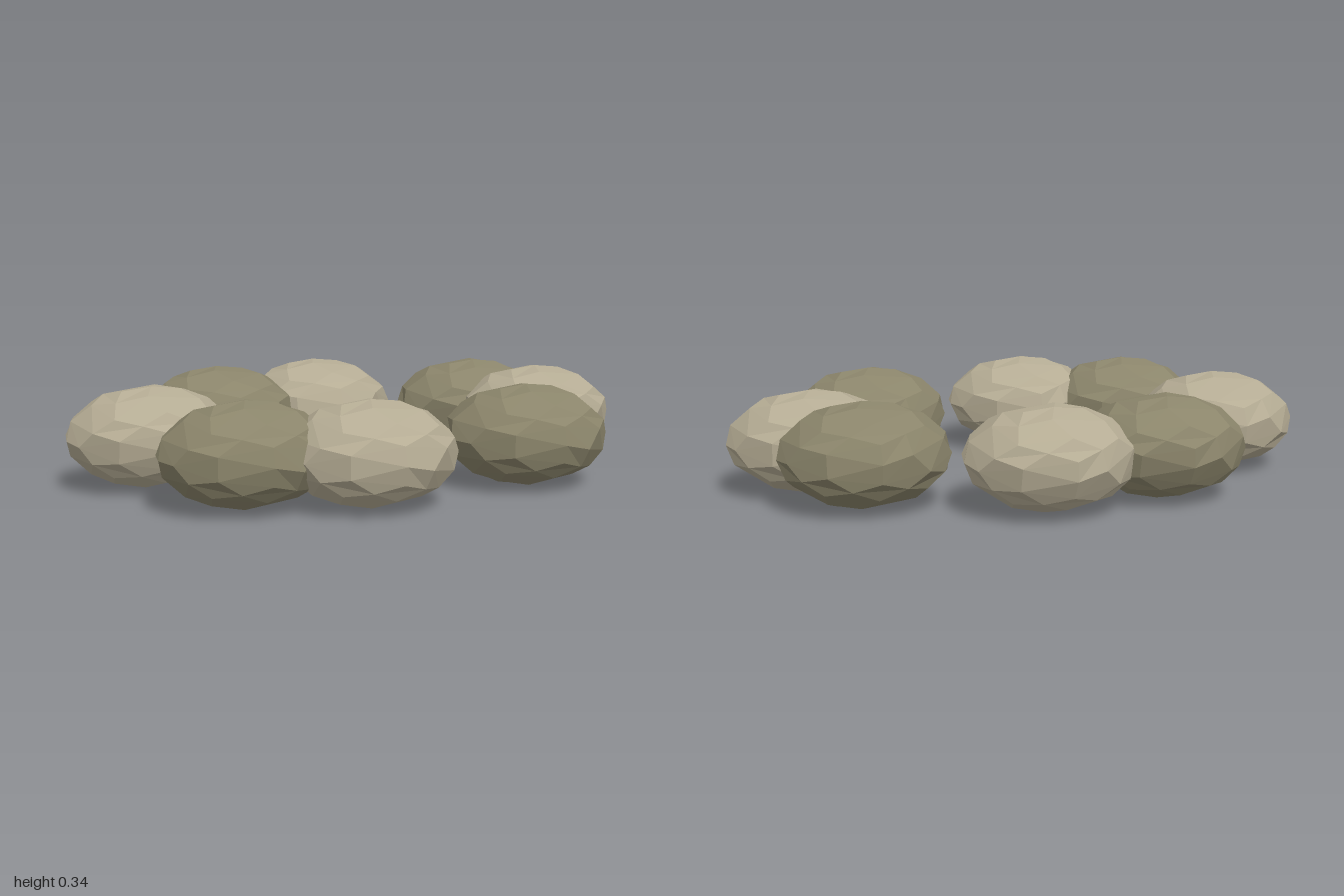
import * as THREE from 'three';

export function createModel() {
  const group = new THREE.Group();
  group.name = 'stoneRing';

  const lightStone = new THREE.MeshStandardMaterial({ color: 0xb5ac94, flatShading: true });
  lightStone.name = 'light stone';
  const darkStone = new THREE.MeshStandardMaterial({ color: 0x8b856b, flatShading: true });
  darkStone.name = 'dark stone';

  // Stones around the oval ring, alternating light and dark: x, z, tilt
  const stones = [
    [-0.72, -0.085, 0.1],
    [-0.35, -0.44, -0.15],
    [0.06, -0.497, -0.15],
    [0.6, -0.27, 0.1],
    [0.72, 0.005, 0],
    [0.43, 0.41, 0],
    [-0.185, 0.497, 0],
    [-0.545, 0.352, 0],
  ];

  stones.forEach(([x, z, tilt], i) => {
    // Faceted boulder, tilted a little and then squashed flat
    const geometry = new THREE.DodecahedronGeometry(1, 1);
    geometry.rotateX(tilt);
    geometry.scale(0.28, 0.168, 0.255);
    geometry.computeVertexNormals();
    const stone = new THREE.Mesh(geometry, i % 2 ? darkStone : lightStone);
    stone.name = `stone${i + 1}`;
    stone.position.set(x, 0.17, z);
    group.add(stone);
  });

  return group;
}
